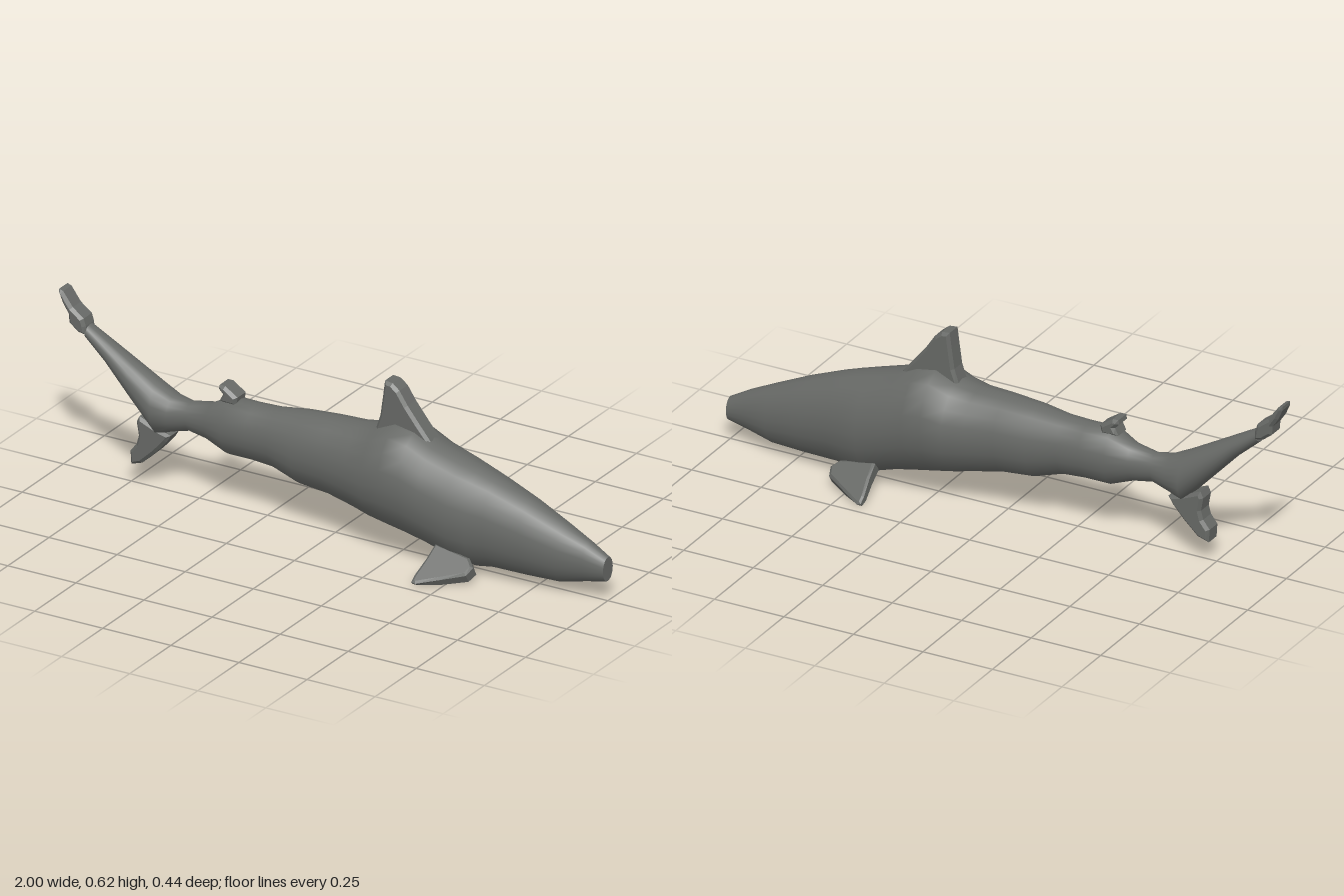
import * as THREE from 'three';

const skin = new THREE.MeshStandardMaterial({ color: 0x676966 });
skin.name = 'greySkin';

// Skin a list of closed rings (arrays of Vector3) and cap both ends
function loft(rings) {
  const n = rings[0].length, pos = [], idx = [];
  rings.forEach(r => r.forEach(p => pos.push(p.x, p.y, p.z)));
  for (let i = 0; i < rings.length - 1; i++) {
    for (let j = 0; j < n; j++) {
      const a = i * n + j, b = i * n + (j + 1) % n;
      idx.push(a, b, a + n, b, b + n, a + n);
    }
  }
  // Caps use their own vertices so the rim stays crisp
  [[rings[0], true], [rings[rings.length - 1], false]].forEach(([r, first]) => {
    const base = pos.length / 3;
    const c = r.reduce((s, p) => s.add(p), new THREE.Vector3()).divideScalar(n);
    [c, ...r].forEach(p => pos.push(p.x, p.y, p.z));
    for (let j = 0; j < n; j++) {
      const a = base + 1 + j, b = base + 1 + (j + 1) % n;
      idx.push(base, first ? b : a, first ? a : b);
    }
  });
  const g = new THREE.BufferGeometry();
  g.setAttribute('position', new THREE.Float32BufferAttribute(pos, 3));
  g.setIndex(idx);
  g.computeVertexNormals();
  return g;
}

// Body sections from tail to snout: top x, top y, bottom x, bottom y, half width
const SECTIONS = [
  [-0.90, 0.51, -0.91, 0.465, 0.028],
  [-0.82, 0.465, -0.83, 0.395, 0.04],
  [-0.74, 0.42, -0.735, 0.295, 0.055],
  [-0.65, 0.37, -0.64, 0.195, 0.068],
  [-0.59, 0.34, -0.59, 0.215, 0.058],
  [-0.53, 0.33, -0.53, 0.23, 0.04],
  [-0.45, 0.345, -0.46, 0.218, 0.05],
  [-0.38, 0.382, -0.38, 0.188, 0.074],
  [-0.29, 0.38, -0.29, 0.188, 0.075],
  [-0.21, 0.383, -0.21, 0.182, 0.077],
  [-0.11, 0.397, -0.11, 0.15, 0.096],
  [0.00, 0.405, 0.00, 0.14, 0.105],
  [0.10, 0.408, 0.10, 0.118, 0.118],
  [0.17, 0.42, 0.17, 0.102, 0.137],
  [0.24, 0.452, 0.24, 0.088, 0.148],
  [0.31, 0.44, 0.31, 0.073, 0.143],
  [0.38, 0.405, 0.38, 0.058, 0.14],
  [0.48, 0.375, 0.48, 0.025, 0.133],
  [0.54, 0.357, 0.54, 0.021, 0.12],
  [0.60, 0.337, 0.60, 0.03, 0.108],
  [0.72, 0.29, 0.72, 0.03, 0.09],
  [0.84, 0.235, 0.84, 0.033, 0.068],
  [0.93, 0.192, 0.93, 0.055, 0.045],
  [1.00, 0.152, 1.00, 0.07, 0.03],
];

function bodyGeometry() {
  const sides = 20;
  return loft(SECTIONS.map(([tx, ty, bx, by, w]) =>
    Array.from({ length: sides }, (_, j) => {
      const a = j / sides * Math.PI * 2, k = (1 + Math.cos(a)) / 2;
      return new THREE.Vector3(bx + (tx - bx) * k, by + (ty - by) * k, Math.sin(a) * w);
    })));
}

// Thick upright fin with a bevelled rim, centred on z = 0
function finGeometry(points, half, bevel = 0.01) {
  const shape = new THREE.Shape(points.map(([x, y]) => new THREE.Vector2(x, y)));
  const g = new THREE.ExtrudeGeometry(shape, {
    depth: 2 * (half - bevel), bevelThickness: bevel, bevelSize: bevel,
    bevelOffset: -bevel, bevelSegments: 1,
  });
  return g.translate(0, 0, -(half - bevel));
}

const FINS = {
  dorsalFin: [[0.16, 0.40], [0.18, 0.46], [0.19, 0.53], [0.197, 0.583], [0.225, 0.58],
    [0.25, 0.56], [0.28, 0.515], [0.32, 0.465], [0.365, 0.41], [0.33, 0.39]],
  secondDorsalFin: [[-0.41, 0.37], [-0.398, 0.395], [-0.413, 0.41], [-0.41, 0.425],
    [-0.39, 0.425], [-0.345, 0.395], [-0.35, 0.365]],
  upperTailTip: [[-0.90, 0.48], [-0.93, 0.485], [-0.962, 0.51], [-0.965, 0.54],
    [-0.985, 0.57], [-1.0, 0.605], [-1.0, 0.617], [-0.985, 0.612], [-0.95, 0.565],
    [-0.91, 0.535], [-0.902, 0.51]],
  lowerTailFin: [[-0.735, 0.075], [-0.738, 0.12], [-0.715, 0.15], [-0.707, 0.18],
    [-0.715, 0.225], [-0.705, 0.247], [-0.64, 0.22], [-0.59, 0.205], [-0.605, 0.18],
    [-0.645, 0.135], [-0.695, 0.088]],
};

// Pectoral fin: outline drawn as [x, distance out], then sloped down and outward
function pectoralGeometry(side) {
  const outline = [[0.425, -0.01], [0.42, 0.05], [0.41, 0.115], [0.41, 0.143], [0.425, 0.143],
    [0.49, 0.1], [0.565, 0.05], [0.575, 0.015], [0.55, -0.01]];
  const g = finGeometry(outline, 0.027, 0.008);
  const p = g.attributes.position, slope = 0.56;
  for (let i = 0; i < p.count; i++) {
    const x = p.getX(i), out = p.getY(i), t = p.getZ(i) * (1 - out * 3.5);
    const y = 0.08 - out * Math.sin(slope) + t * Math.cos(slope) - (x - 0.41) * 0.17;
    p.setXYZ(i, x, Math.max(y, 0.002),
      side * (0.093 + out * Math.cos(slope) + t * Math.sin(slope)));
  }
  // The near side flips handedness here, so reverse its corners
  if (side > 0) {
    for (let i = 0; i < p.count; i += 3) {
      const a = new THREE.Vector3().fromBufferAttribute(p, i + 1);
      const b = new THREE.Vector3().fromBufferAttribute(p, i + 2);
      p.setXYZ(i + 1, b.x, b.y, b.z);
      p.setXYZ(i + 2, a.x, a.y, a.z);
    }
  }
  g.computeVertexNormals();
  return g;
}

export function createModel() {
  const model = new THREE.Group();
  model.name = 'shark';
  const add = (name, geometry) => {
    const mesh = new THREE.Mesh(geometry, skin);
    mesh.name = name;
    model.add(mesh);
  };

  add('body', bodyGeometry());
  for (const [name, points] of Object.entries(FINS)) add(name, finGeometry(points, 0.035));
  // The model faces +z, so its front-side fin is at +z and its rear-side fin at -z
  add('frontPectoralFin', pectoralGeometry(1));
  add('rearPectoralFin', pectoralGeometry(-1));
  return model;
}
